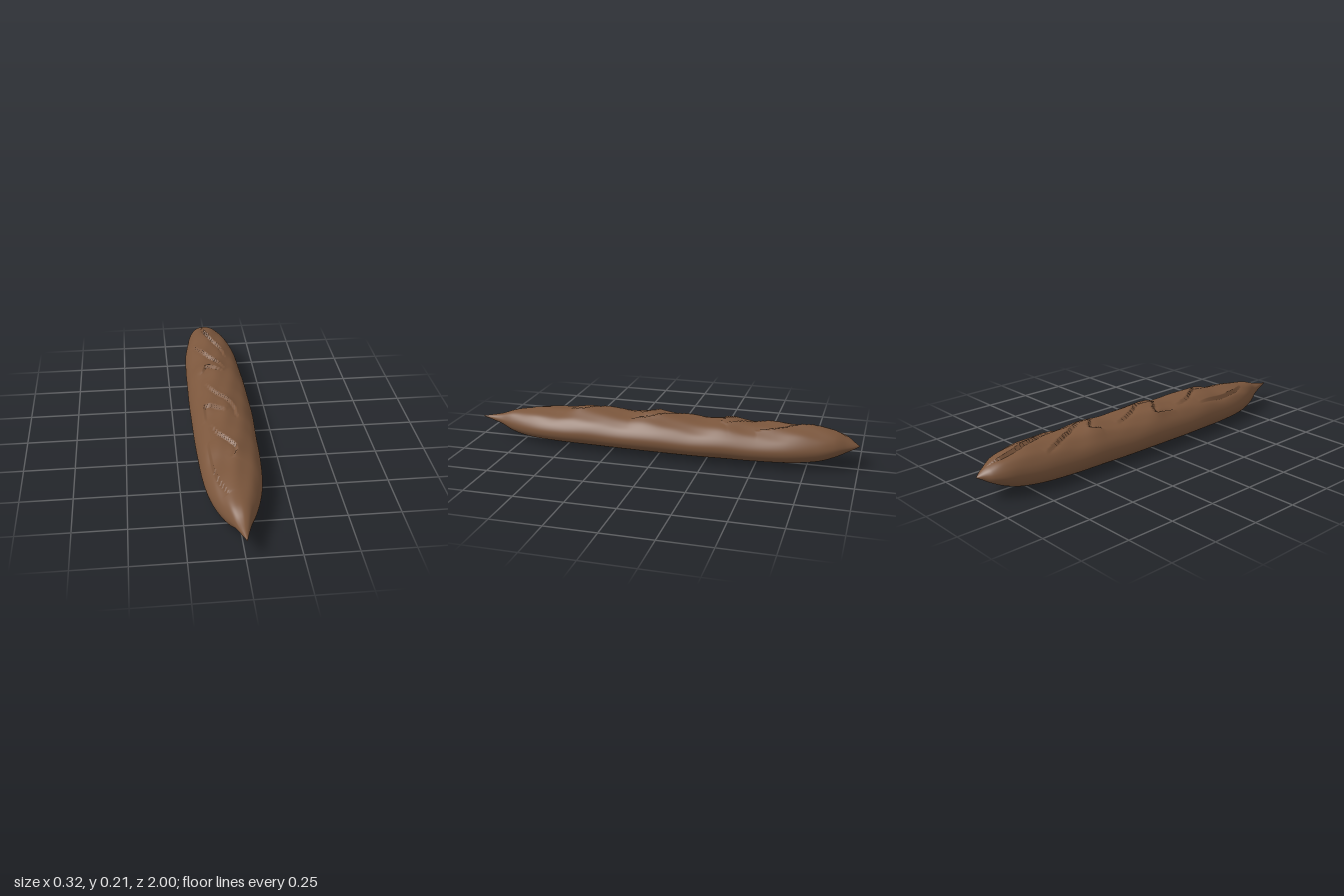
import * as THREE from 'three';

const ROWS = 340, SIDES = 120;

// Stations along the loaf: z, left x, right x, bottom y, top y
const STATIONS = [
  [-1, -0.021, -0.019, 0.114, 0.116],
  [-0.975, -0.045, 0.005, 0.1, 0.133],
  [-0.94, -0.08, 0.03, 0.08, 0.155],
  [-0.88, -0.108, 0.072, 0.052, 0.18],
  [-0.8, -0.125, 0.105, 0.027, 0.195],
  [-0.67, -0.146, 0.134, 0.012, 0.198],
  [-0.5, -0.154, 0.146, 0.006, 0.192],
  [-0.35, -0.157, 0.152, 0.004, 0.202],
  [-0.18, -0.16, 0.156, 0.003, 0.194],
  [0, -0.16, 0.157, 0.003, 0.203],
  [0.2, -0.158, 0.15, 0.004, 0.194],
  [0.36, -0.154, 0.145, 0.005, 0.2],
  [0.5, -0.146, 0.137, 0.007, 0.184],
  [0.62, -0.131, 0.122, 0.01, 0.173],
  [0.72, -0.105, 0.098, 0.015, 0.165],
  [0.81, -0.07, 0.068, 0.032, 0.15],
  [0.88, -0.037, 0.041, 0.065, 0.127],
  [0.94, -0.016, 0.022, 0.083, 0.113],
  [1, 0.004, 0.006, 0.099, 0.101],
];

// Cross-section, clockwise from the left side (slightly tilted underside)
const SECTION = [
  [-0.16, 0.085], [-0.15, 0.128], [-0.125, 0.163], [-0.09, 0.189], [-0.045, 0.205],
  [0.01, 0.211], [0.06, 0.2], [0.105, 0.177], [0.14, 0.141], [0.157, 0.098],
  [0.145, 0.06], [0.1, 0.028], [0.04, 0.011], [-0.04, 0.003], [-0.1, 0.01], [-0.143, 0.04],
];

// Torn crust edges as seen from above, in x and z
const SLASHES = [
  [[-0.02, -0.95], [-0.035, -0.85], [-0.01, -0.72], [0.05, -0.58], [0.065, -0.5]],
  [[-0.105, -0.67], [-0.06, -0.56], [0, -0.44], [0.045, -0.34]],
  [[-0.075, -0.31], [-0.05, -0.37], [-0.01, -0.34], [0.035, -0.31]],
  [[-0.07, -0.21], [-0.04, -0.11], [0.02, -0.01], [0.055, 0.07], [0.06, 0.15]],
  [[-0.095, 0.16], [-0.09, 0.03], [-0.04, 0.06], [0.01, 0.1]],
  [[-0.075, 0.2], [-0.05, 0.3], [0, 0.38], [0.025, 0.44], [0, 0.49]],
  [[-0.105, 0.34], [-0.1, 0.5], [-0.08, 0.63], [-0.045, 0.73]],
].map((line) => new THREE.CatmullRomCurve3(line.map(([x, z]) => new THREE.Vector3(x, 0, z))).getPoints(16));

// Height of the torn edge: a lip on one side, a groove on the other
function slashHeight(x, z, line) {
  let best = Infinity, side = 0, along = 0;
  for (let i = 0; i < line.length - 1; i++) {
    const a = line[i], dx = line[i + 1].x - a.x, dz = line[i + 1].z - a.z;
    const raw = ((x - a.x) * dx + (z - a.z) * dz) / (dx * dx + dz * dz);
    const t = Math.min(1, Math.max(0, raw));
    const d = Math.hypot(x - a.x - t * dx, z - a.z - t * dz);
    if (d < best) {
      best = d;
      side = Math.sign((x - a.x) * dz - (z - a.z) * dx);
      along = (i + t) / (line.length - 1);
    }
  }
  if (best > 0.2) return 0;
  const fade = Math.sqrt(Math.max(0, Math.sin(Math.PI * along)));
  const lip = 0.011 * Math.exp(-best / 0.03);
  const groove = -0.009 * Math.exp(-best / 0.012);
  return fade * (side > 0 ? lip : groove);
}

function loafGeometry() {
  const section = new THREE.CatmullRomCurve3(
    SECTION.map(([x, y]) => new THREE.Vector3((x + 0.16) / 0.317, (y - 0.003) / 0.208, 0)), true)
    .getSpacedPoints(SIDES).slice(0, SIDES);
  const widths = new THREE.CatmullRomCurve3(
    STATIONS.map(([z, l, r]) => new THREE.Vector3(l, r, z)), false, 'catmullrom');
  const heights = new THREE.CatmullRomCurve3(
    STATIONS.map(([z, , , b, t]) => new THREE.Vector3(b, t, z)), false, 'catmullrom');
  const positions = [], index = [];

  for (let i = 0; i <= ROWS; i++) {
    const w = widths.getPoint(i / ROWS), h = heights.getPoint(i / ROWS), z = w.z;
    for (let j = 0; j < SIDES; j++) {
      const p = section[j];
      const x = w.x + (w.y - w.x) * p.x;
      let y = h.x + (h.y - h.x) * p.y;
      // Tears and soft lumps only on the upper crust
      const crust = THREE.MathUtils.smoothstep(p.y, 0.66, 0.88) *
        THREE.MathUtils.smoothstep(1 - Math.abs(z), 0.02, 0.15);
      if (crust > 0) {
        let lift = 0.003 * Math.sin(z * 23 + x * 30) * Math.cos(x * 38 - z * 9);
        for (const line of SLASHES) lift += slashHeight(x, z, line);
        y += crust * lift;
      }
      positions.push(x, y, z);
      if (i < ROWS) {
        const a = i * SIDES + j, c = i * SIDES + (j + 1) % SIDES;
        index.push(a, a + SIDES, c, c, a + SIDES, c + SIDES);
      }
    }
  }
  const geometry = new THREE.BufferGeometry();
  geometry.setAttribute('position', new THREE.Float32BufferAttribute(positions, 3));
  geometry.setIndex(index);
  geometry.computeVertexNormals();
  return geometry;
}

export function createModel() {
  const group = new THREE.Group();
  group.name = 'breadLoaf';
  const crust = new THREE.MeshStandardMaterial({ color: 0x7b563c });
  crust.name = 'brownCrust';
  const loaf = new THREE.Mesh(loafGeometry(), crust);
  loaf.name = 'loaf';
  group.add(loaf);
  return group;
}
